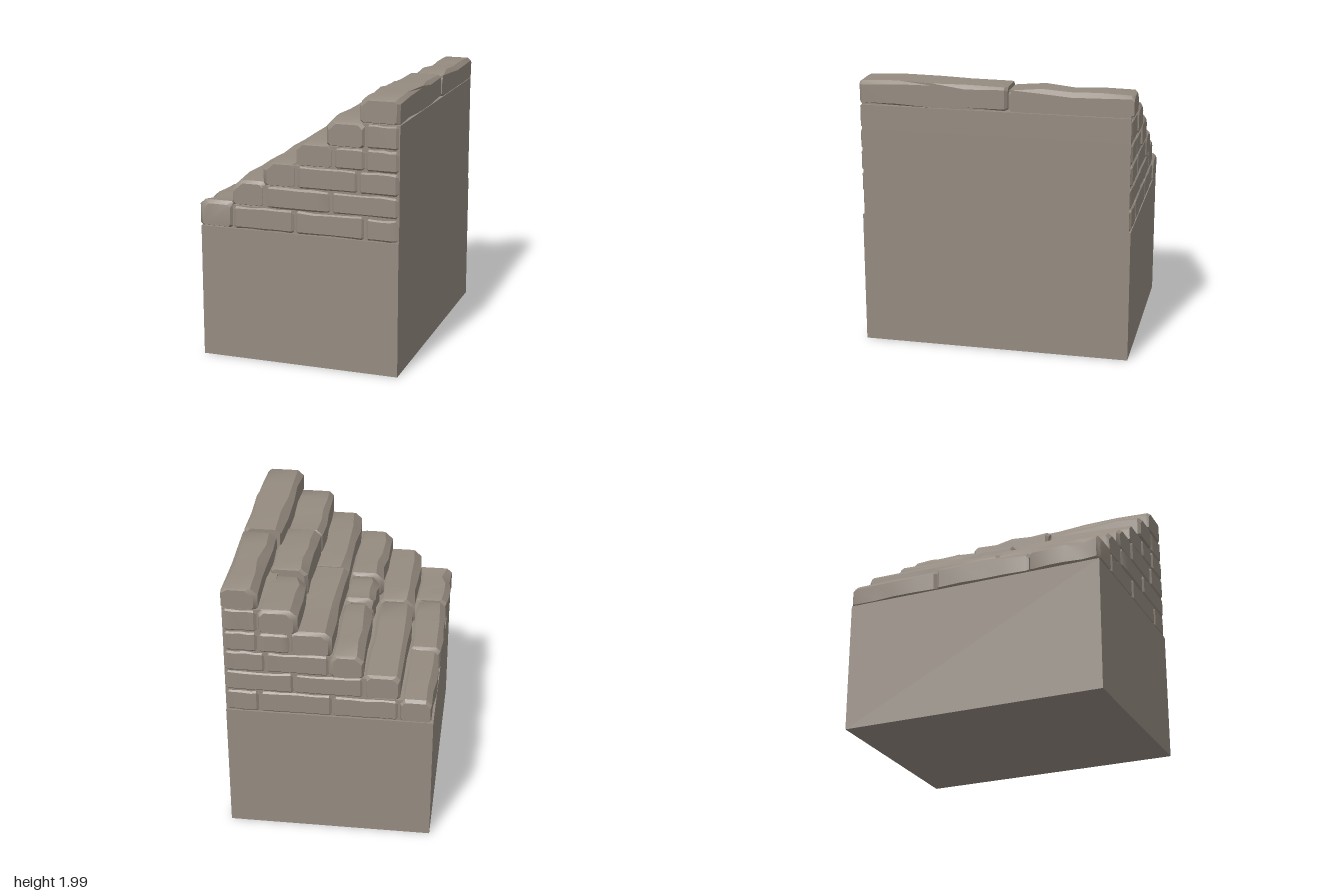
import * as THREE from 'three';
import { toCreasedNormals } from 'three/addons/utils/BufferGeometryUtils.js';

const RIGHT = 0.744; // flat cut plane on the right side

let seed = 7;
function rand() {
  seed = (seed * 16807) % 2147483647;
  return seed / 2147483647;
}
const jitter = (a) => (rand() - 0.5) * 2 * a;

// Worn block lofted along z: bevelled cross-sections that drift a little from end to end.
function stoneGeometry(w, h, d, wear, topBevel) {
  const rings = [0, 0.022 / d, 0.28, 0.5, 0.74, 1 - 0.022 / d, 1];
  const positions = [], index = [], n = 8;
  const tl = topBevel * (0.8 + rand() * 0.5), tr = topBevel * (0.4 + rand() * 0.4), b = 0.015;
  rings.forEach((t, k) => {
    const end = k === 0 || k === rings.length - 1;
    const e = end ? 0.016 : 0;
    const l = -w / 2 + e + rand() * wear, r = w / 2 - e - rand() * wear * 0.4;
    const top = h - e - rand() * wear, low = e * 0.5;
    const bl = tl + jitter(wear * 0.6), br = tr + jitter(wear * 0.4);
    const profile = [
      [l + b, low], [r - b, low], [r, low + b], [r, top - br],
      [r - br, top], [l + bl * 1.1, top], [l, top - bl], [l, low + b],
    ];
    for (const [x, y] of profile) positions.push(x, y, (t - 0.5) * d);
  });
  for (let k = 0; k < rings.length - 1; k++) {
    for (let j = 0; j < n; j++) {
      const a = k * n + j, c = k * n + ((j + 1) % n);
      index.push(a, c, c + n, a, c + n, a + n);
    }
  }
  const last = (rings.length - 1) * n;
  for (let j = 1; j < n - 1; j++) {
    index.push(0, j + 1, j);
    index.push(last, last + j, last + j + 1);
  }
  const geo = new THREE.BufferGeometry();
  geo.setAttribute('position', new THREE.Float32BufferAttribute(positions, 3));
  geo.setIndex(index);
  return geo;
}

export function createModel() {
  const model = new THREE.Group();
  model.name = 'stoneSteps';
  const stone = new THREE.MeshStandardMaterial({ color: 0x958b80 });
  stone.name = 'weathered stone';

  function add(name, geometry, parent = model) {
    const mesh = new THREE.Mesh(geometry, stone);
    mesh.name = name;
    parent.add(mesh);
    return mesh;
  }

  function box(name, x0, x1, y0, y1, z, parent) {
    const mesh = add(name, new THREE.BoxGeometry(x1 - x0, y1 - y0, 2 * z), parent);
    mesh.position.set((x0 + x1) / 2, (y0 + y1) / 2, 0);
  }

  // Block filling the given bounds, with its right side cut flat where it meets the side wall.
  function block(name, parent, x0, x1, y0, y1, z0, z1, alongX, wear, bevel) {
    const w = x1 - x0, d = z1 - z0;
    let geo = alongX
      ? stoneGeometry(d, y1 - y0, w, wear, bevel).rotateY(z0 > 0 ? Math.PI / 2 : -Math.PI / 2)
      : stoneGeometry(w, y1 - y0, d, wear, bevel);
    geo.translate((x0 + x1) / 2, y0, (z0 + z1) / 2);
    const p = geo.attributes.position;
    for (let i = 0; i < p.count; i++) {
      if (x1 > 0.74 && p.getX(i) > 0.725) p.setX(i, RIGHT);
    }
    add(name, toCreasedNormals(geo, 0.55), parent);
  }

  // Solid plinth
  box('base', -0.735, 0.745, 0, 0.98, 0.985);

  // Courses: y = bottom, end = right edge of the tread stones,
  // treads = [left, top, back z, front z], seams = joints in the wall behind the tread
  const courses = [
    { y: 0.982, end: -0.49, seams: [-0.02, 0.5], treads: [
      [-0.735, 1.17, -0.99, -0.29], [-0.745, 1.175, -0.285, 0.445], [-0.75, 1.18, 0.455, 0.99]] },
    { y: 1.152, end: -0.24, seams: [0.25], treads: [
      [-0.51, 1.345, -0.98, 0.1], [-0.51, 1.345, 0.105, 0.975]] },
    { y: 1.312, end: 0.0, seams: [0.45], treads: [
      [-0.245, 1.5, -0.99, -0.24], [-0.23, 1.46, -0.245, -0.19],
      [-0.24, 1.5, -0.19, 0.2], [-0.26, 1.495, 0.21, 0.975]] },
    { y: 1.475, end: 0.27, seams: [0.5], treads: [
      [-0.02, 1.66, -0.99, 0.02], [-0.025, 1.655, 0.025, 0.975]] },
    { y: 1.635, end: 0.5, seams: [], treads: [
      [0.215, 1.82, -0.99, -0.45], [0.215, 1.865, -0.44, 0.215], [0.205, 1.83, 0.23, 0.99]] },
    { y: 1.812, end: 0.745, seams: [], treads: [
      [0.485, 1.985, -0.99, -0.105], [0.455, 2.0, -0.095, 0.985]] },
  ];

  courses.forEach((course, i) => {
    const group = new THREE.Group();
    group.name = 'course' + (i + 1);
    model.add(group);

    for (const [left, top, z0, z1] of course.treads) {
      block('treadStone', group, left, course.end, course.y, top, z0, z1, false, 0.02, 0.04);
    }

    // Core and wall stones on the front and back behind each tread
    const next = courses[i + 1];
    if (!next) return;
    box('core', course.end - 0.06, 0.745, course.y - 0.012, next.y - 0.004, 0.972, group);
    const joints = [course.end, ...course.seams, 0.745];
    for (let j = 0; j < joints.length - 1; j++) {
      for (const [z0, z1] of [[0.72, 0.988], [-0.988, -0.72]]) {
        block('wallStone', group, joints[j] + 0.002, joints[j + 1] - 0.002,
          course.y, next.y - 0.002, z0, z1, true, 0.007, 0.014);
      }
    }
  });

  return model;
}
